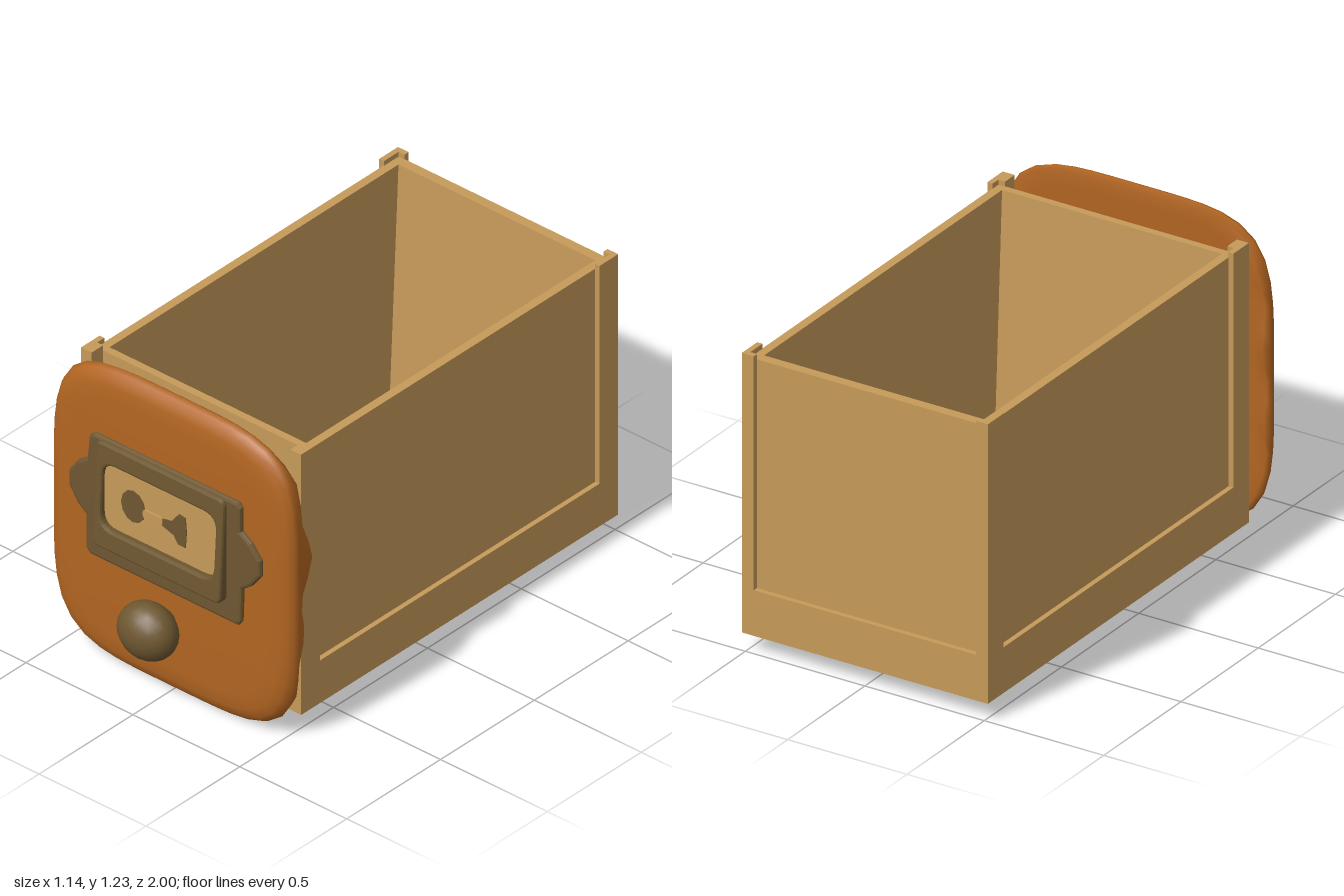
import * as THREE from 'three';

const mat = (name, color) => {
  const m = new THREE.MeshStandardMaterial({ color });
  m.name = name;
  return m;
};

export function createModel() {
  const model = new THREE.Group();
  model.name = 'drawer';
  const wood = mat('lightWood', 0xc69a59);
  const orange = mat('orangeWood', 0xb26521);
  const dark = mat('darkBrass', 0x6e5731);

  const add = (name, geo, material, parent = model) => {
    const mesh = new THREE.Mesh(geo, material);
    mesh.name = name;
    parent.add(mesh);
    return mesh;
  };
  // box from its minimum and maximum corners
  const box = (name, x0, x1, y0, y1, z0, z1, parent) => {
    const geo = new THREE.BoxGeometry(x1 - x0, y1 - y0, z1 - z0);
    geo.translate((x0 + x1) / 2, (y0 + y1) / 2, (z0 + z1) / 2);
    return add(name, geo, wood, parent);
  };
  const poly = (pts) => new THREE.Shape(pts.map(([x, y]) => new THREE.Vector2(x, y)));
  const roundRect = (x0, x1, y0, y1, r) => {
    const s = new THREE.Shape();
    s.moveTo(x0 + r, y0);
    s.lineTo(x1 - r, y0).quadraticCurveTo(x1, y0, x1, y0 + r);
    s.lineTo(x1, y1 - r).quadraticCurveTo(x1, y1, x1 - r, y1);
    s.lineTo(x0 + r, y1).quadraticCurveTo(x0, y1, x0, y1 - r);
    s.lineTo(x0, y0 + r).quadraticCurveTo(x0, y0, x0 + r, y0);
    return s;
  };
  // extrusion along z between z0 and z1 with an inward bevel
  const slab = (shape, z0, z1, bevel) => {
    const geo = new THREE.ExtrudeGeometry(shape, {
      depth: z1 - z0 - 2 * bevel, bevelEnabled: bevel > 0, bevelThickness: bevel,
      bevelSize: bevel, bevelOffset: -bevel, bevelSegments: 2, curveSegments: 6,
    });
    return geo.translate(0, 0, z0 + bevel);
  };

  // Drawer box: floor with sloping end walls, then straight side walls
  const body = new THREE.Group();
  body.name = 'drawerBox';
  model.add(body);
  const trough = slab(poly([
    [-0.63, 0.09], [0.98, 0.09], [0.98, 1.15], [0.94, 1.15],
    [0.89, 0.12], [-0.55, 0.12], [-0.6, 1.15], [-0.63, 1.15],
  ]), -0.46, 0.46, 0);
  add('floorAndEndWalls', trough.rotateY(Math.PI / 2), wood, body);
  for (const s of [-1, 1]) {
    const [a, b] = s < 0 ? [-0.495, -0.46] : [0.46, 0.495];
    box('sideWall', a, b, 0.09, 1.15, -0.98, 0.63, body);
  }

  // Raised band around the foot, open underneath to a shallow recess
  const band = poly([[-0.515, -0.69], [0.515, -0.69], [0.515, 1], [-0.515, 1]]);
  band.holes.push(poly([[-0.463, -0.6], [-0.463, 0.91], [0.463, 0.91], [0.463, -0.6]]));
  add('bottomBand', slab(band, 0.07, 0.25, 0).rotateX(-Math.PI / 2), wood, body);

  // L-shaped corner posts
  for (const s of [-1, 1]) {
    const span = (a, b) => (s < 0 ? [-b, -a] : [a, b]);
    box('backPostSide', ...span(0.493, 0.515), 0.25, 1.17, -1, -0.9, body);
    box('backPostEnd', ...span(0.465, 0.493), 0.25, 1.17, -1, -0.978, body);
    box('frontPostSide', ...span(0.493, 0.515), 0.25, 1.17, 0.59, 0.69, body);
    box('frontPostEnd', ...span(0.465, 0.493), 0.25, 1.17, 0.628, 0.69, body);
  }

  // Pillowy front panel from superellipse rings, with a wavy rear rim
  const rimZ = (x, y) => 0.733 + 0.012 * Math.cos(y * 21)
    - (x > 0 ? 0.045 : 0.015) * Math.exp(-(((y - 0.77) / 0.15) ** 2)) * Math.abs(x / 0.57) ** 3;
  const rings = [[0.57, 0.75], [0.07, 0.75], [0.012, null], [0, 0.76], [0.007, 0.78],
    [0.025, 0.797], [0.055, 0.807], [0.11, 0.813], [0.3, 0.815], [0.57, 0.815]];
  const N = 56, pos = [], idx = [];
  rings.forEach(([inset, z], k) => {
    for (let i = 0; i < N; i++) {
      const t = (i / N) * Math.PI * 2, c = Math.cos(t), s = Math.sin(t);
      const r = (Math.abs(c) ** 4.5 + Math.abs(s) ** 4.5) ** (-1 / 4.5);
      const x = (0.57 - inset) * r * c;
      const y = 0.615 + (inset === 0.57 ? 0 : 0.615 - inset) * r * s;
      pos.push(x, y, z === null ? rimZ(x, y) : z);
      if (k === 0) continue;
      const j = (i + 1) % N, a = (k - 1) * N, b = k * N;
      idx.push(a + i, a + j, b + j, a + i, b + j, b + i);
    }
  });
  const panel = new THREE.BufferGeometry();
  panel.setAttribute('position', new THREE.Float32BufferAttribute(pos, 3));
  panel.setIndex(idx);
  panel.computeVertexNormals();
  add('frontPanel', panel, orange);

  // Label holder: eared back plate, tilted raised frame and label card
  const holder = new THREE.Group();
  holder.name = 'labelHolder';
  model.add(holder);
  const plate = poly([
    [-0.35, 0.44], [0.34, 0.44], [0.355, 0.46], [0.36, 0.6], [0.4, 0.63], [0.445, 0.69],
    [0.445, 0.755], [0.4, 0.81], [0.355, 0.84], [0.355, 0.94], [0.34, 0.957], [-0.335, 0.957],
    [-0.355, 0.94], [-0.365, 0.84], [-0.41, 0.81], [-0.45, 0.755], [-0.45, 0.69],
    [-0.41, 0.63], [-0.37, 0.6], [-0.37, 0.46],
  ]);
  add('backPlate', slab(plate, 0.79, 0.832, 0.012), dark, holder);

  const frame = roundRect(-0.31, 0.29, -0.215, 0.215, 0.03);
  frame.holes.push(roundRect(-0.275, 0.255, -0.13, 0.135, 0.06));
  const raised = add('raisedFrame', slab(frame, -0.045, 0.012, 0.01), dark, holder);
  raised.position.set(0, 0.735, 0.846);
  raised.rotation.x = -0.058;
  add('labelCard', slab(roundRect(-0.285, 0.265, 0.595, 0.88, 0.05), 0.829, 0.837, 0), wood, holder);

  // Painted marks on the card
  const spot = new THREE.Shape();
  spot.absellipse(-0.14, 0.737, 0.056, 0.066, 0, Math.PI * 2);
  const fan = poly([[-0.015, 0.72], [0.05, 0.7], [0.07, 0.67], [0.105, 0.67], [0.11, 0.735],
    [0.105, 0.795], [0.075, 0.8], [0.04, 0.755], [-0.01, 0.745]]);
  for (const mark of [spot, fan]) add('cardMark', slab(mark, 0.836, 0.84, 0), dark, holder);
  add('cardRidge', slab(roundRect(-0.09, 0, 0.715, 0.75, 0.012), 0.836, 0.845, 0), wood, holder);

  // Faceted pull knob on a short neck
  const knob = new THREE.IcosahedronGeometry(1, 3);
  knob.scale(0.123, 0.112, 0.092).translate(-0.01, 0.305, 0.908);
  add('knob', knob, dark);
  const neck = new THREE.CylinderGeometry(0.06, 0.05, 0.06, 14);
  neck.rotateX(Math.PI / 2).translate(-0.01, 0.305, 0.835);
  add('knobNeck', neck, dark);

  return model;
}
